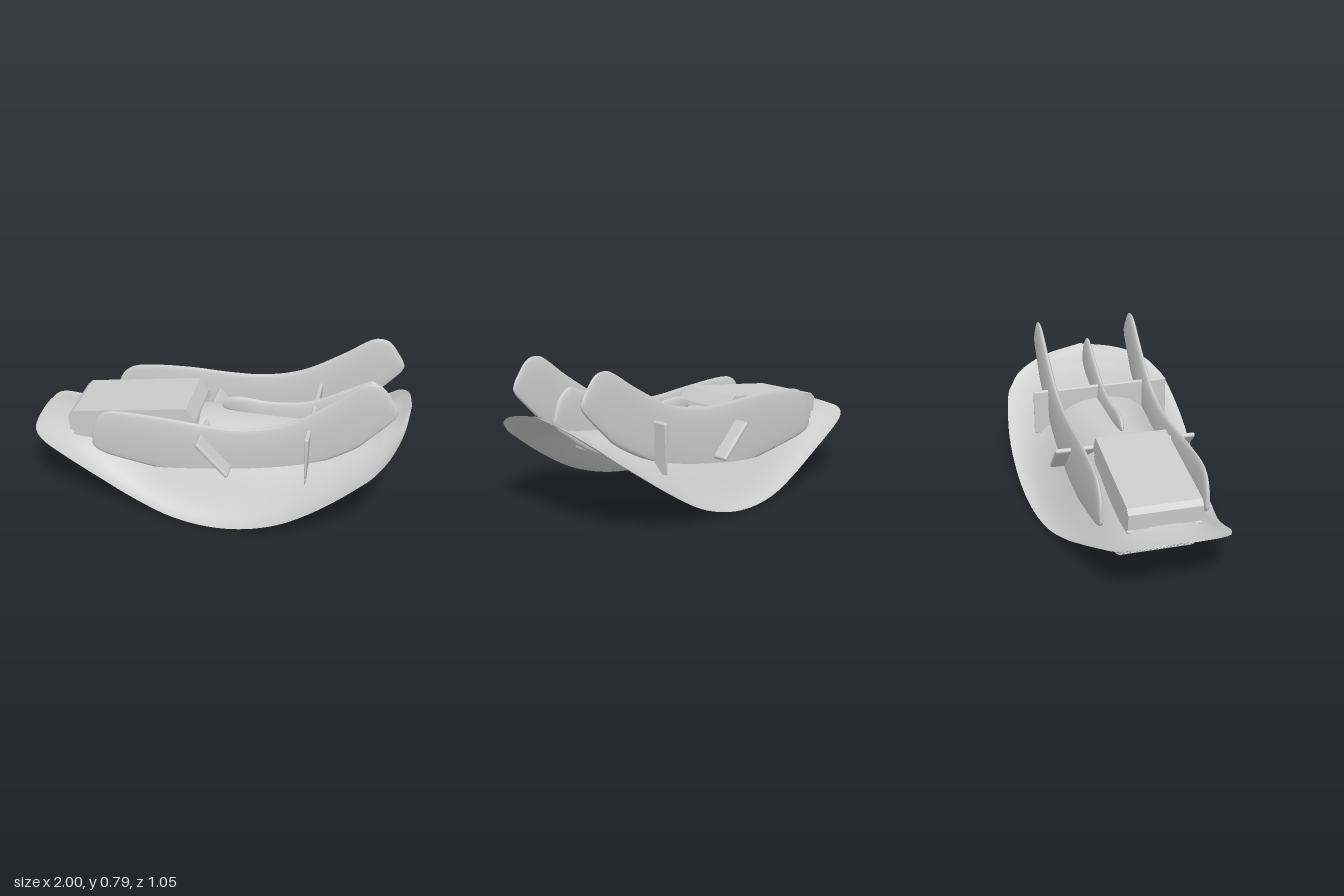
import * as THREE from 'three';
import { mergeVertices } from 'three/addons/utils/BufferGeometryUtils.js';
import { RoundedBoxGeometry } from 'three/addons/geometries/RoundedBoxGeometry.js';

const smooth = new THREE.MeshStandardMaterial({ color: 0xcccccc, side: THREE.DoubleSide });
const flat = new THREE.MeshStandardMaterial({ color: 0xcccccc, flatShading: true });

// Smooth surface from a rule point(u, v), with u and v in 0..1
function surface(nu, nv, point) {
  const pos = [], index = [];
  for (let i = 0; i <= nu; i++)
    for (let j = 0; j <= nv; j++) pos.push(...point(i / nu, j / nv));
  for (let i = 0; i < nu; i++)
    for (let j = 0; j < nv; j++) {
      const a = i * (nv + 1) + j, b = a + nv + 1;
      index.push(a, b, a + 1, b, b + 1, a + 1);
    }
  const raw = new THREE.BufferGeometry();
  raw.setAttribute('position', new THREE.Float32BufferAttribute(pos, 3));
  raw.setIndex(index);
  const geo = mergeVertices(raw, 1e-5);
  geo.computeVertexNormals();
  return geo;
}

const curve = (rows) => new THREE.CatmullRomCurve3(
  rows.map((r) => new THREE.Vector3(...r)), false, 'catmullrom', 0.5);

function mesh(name, geo, mat) {
  const m = new THREE.Mesh(geo, mat);
  m.name = name;
  return m;
}

// Saddle shell: x, rim height, half width, ridge height
function shellGeometry() {
  const rows = [
    [-1, 0.35, 0.1, 0.355], [-0.98, 0.34, 0.22, 0.352], [-0.92, 0.31, 0.29, 0.345],
    [-0.8, 0.26, 0.335, 0.34], [-0.6, 0.165, 0.37, 0.36], [-0.4, 0.08, 0.41, 0.395],
    [-0.2, 0.022, 0.455, 0.43], [0, 0.002, 0.487, 0.44], [0.2, 0.022, 0.51, 0.435],
    [0.4, 0.085, 0.522, 0.43], [0.6, 0.2, 0.52, 0.43], [0.8, 0.34, 0.485, 0.455],
    [0.87, 0.395, 0.445, 0.48], [0.93, 0.455, 0.375, 0.505], [0.98, 0.515, 0.22, 0.54],
    [1, 0.555, 0.005, 0.556],
  ];
  const rim = curve(rows.map((r) => [r[0], r[1], r[2]]));
  const ridge = curve(rows.map((r) => [r[0], r[3], 0]));
  return surface(120, 56, (u, v) => {
    const p = rim.getPoint(u), top = ridge.getPoint(u).y;
    const s = 1 - 2 * v;
    const bell = 0.5 + 0.5 * Math.cos(Math.PI * Math.abs(s) ** 1.35);
    return [p.x, p.y + (top - p.y) * bell, p.z * s];
  });
}

// Fin with a lens section: rows of x, top height, bottom height
function finGeometry(rows, halfThick, z0) {
  const c = curve(rows);
  return surface(90, 28, (u, v) => {
    const p = c.getPoint(u), a = (v - 0.25) * Math.PI * 2;
    const t = halfThick * Math.sqrt(Math.max(0, Math.sin(Math.PI * u)));
    const cos = Math.cos(a), sin = Math.sin(a);
    const side = Math.sign(cos) * Math.abs(cos) ** (sin > 0 ? 0.9 : 0.45);
    return [p.x, (p.y + p.z) / 2 + ((p.y - p.z) / 2) * sin, z0 + t * side];
  });
}

const sideFin = [
  [-0.65, 0.34, 0.33], [-0.645, 0.41, 0.295], [-0.6, 0.485, 0.262], [-0.5, 0.51, 0.235],
  [-0.25, 0.495, 0.188], [0, 0.472, 0.15], [0.2, 0.478, 0.18], [0.4, 0.535, 0.25],
  [0.6, 0.66, 0.34], [0.74, 0.768, 0.42], [0.8, 0.79, 0.475], [0.86, 0.772, 0.535],
  [0.92, 0.69, 0.6], [0.94, 0.645, 0.635],
];
const centreFin = [
  [0, 0.465, 0.455], [0.03, 0.505, 0.44], [0.1, 0.52, 0.42], [0.25, 0.505, 0.32],
  [0.4, 0.515, 0.26], [0.5, 0.54, 0.25], [0.65, 0.61, 0.31], [0.75, 0.66, 0.37],
  [0.8, 0.67, 0.41], [0.86, 0.615, 0.455], [0.89, 0.53, 0.49], [0.895, 0.51, 0.5],
];

// Outline extruded across z, centred
function crossExtrude(points, width) {
  const shape = new THREE.Shape(points.map((p) => new THREE.Vector2(...p)));
  const geo = new THREE.ExtrudeGeometry(shape, { depth: width, bevelEnabled: false });
  return geo.translate(0, 0, -width / 2);
}

// Half drum with ribs along its curved underside
function drumGeometry() {
  const pts = [], teeth = 54;
  for (let i = 0; i < teeth; i++)
    [[0, 0.324], [0.25, 0.336], [0.6, 0.336], [0.85, 0.324]].forEach(([f, r]) => {
      const a = Math.PI * (1 + (i + f) / teeth);
      pts.push([r * Math.cos(a), r * Math.sin(a)]);
    });
  pts.push([0.324, 0]);
  return crossExtrude(pts, 0.376);
}

export function createModel() {
  const model = new THREE.Group();
  model.name = 'saddleCraft';

  model.add(mesh('shell', shellGeometry(), smooth));

  // Pair of long side fins; the rear one is slightly taller in the middle
  model.add(mesh('frontSideFin', finGeometry(sideFin, 0.023, 0.265), smooth));
  const taller = sideFin.map(([x, top, bottom]) =>
    [x, top + 0.05 * Math.max(0, 1 - ((x - 0.08) / 0.68) ** 2), bottom]);
  model.add(mesh('rearSideFin', finGeometry(taller, 0.023, -0.283), smooth));
  model.add(mesh('centreFin', finGeometry(centreFin, 0.022, 0), smooth));

  // Slanted plate through the middle
  const plate = mesh('slantedPlate', new RoundedBoxGeometry(0.24, 0.025, 0.77, 3, 0.011), smooth);
  plate.position.set(0.013, 0.332, 0);
  plate.rotation.z = -Math.atan2(0.17, 0.16);
  model.add(plate);

  // Upright cross plate, thinner toward its lower edge
  const crossGeo = new RoundedBoxGeometry(0.024, 0.262, 0.775, 4, 0.01);
  const p = crossGeo.attributes.position;
  for (let i = 0; i < p.count; i++)
    p.setX(i, p.getX(i) * THREE.MathUtils.clamp(0.65 + p.getY(i) * 3.2, 0.25, 1));
  crossGeo.computeVertexNormals();
  const cross = mesh('crossPlate', crossGeo, smooth);
  cross.position.set(0.498, 0.376, 0);
  model.add(cross);

  // Tilted housing with chamfered ends, over the ribbed drum
  const drive = new THREE.Group();
  drive.name = 'drumUnit';
  drive.position.set(-0.45, 0.375, 0);
  drive.rotation.z = 0.115;
  drive.add(mesh('housing', crossExtrude([
    [-0.35, 0], [0.35, 0], [0.345, 0.035], [0.305, 0.107], [-0.315, 0.107], [-0.345, 0.085],
  ], 0.38), flat));
  drive.add(mesh('ribbedDrum', drumGeometry(), flat));
  model.add(drive);

  return model;
}
